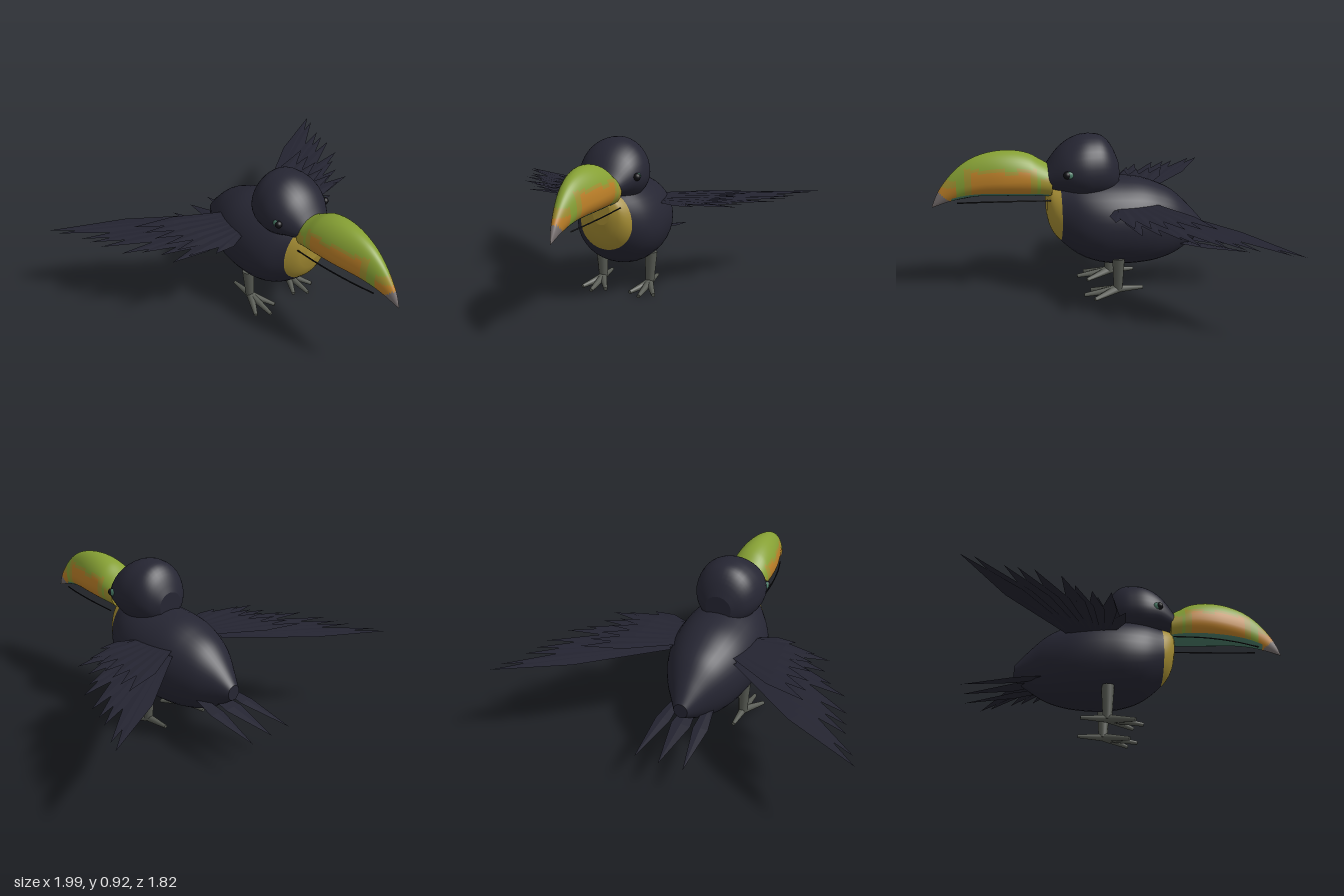
import * as THREE from 'three';

const paint = (name, color, side = THREE.FrontSide) => {
  const m = new THREE.MeshStandardMaterial({ color, side });
  m.name = name;
  return m;
};

// Smooth closed skin along z. Each section is [z, top, widest height, bottom, half width].
// pick(z, y, sin) returns the material index of a face.
function loft(sections, steps, segs, pick = () => 0) {
  const spline = new THREE.CubicInterpolant(
    sections.map(s => s[0]), sections.flatMap(s => s.slice(1)), 4);
  const z0 = sections[0][0], z1 = sections[sections.length - 1][0];
  const pos = [], groups = [];
  const put = (k, ...ids) => (groups[k] ??= []).push(...ids);
  for (let i = 0; i <= steps; i++) {
    const z = z0 + (z1 - z0) * i / steps;
    const [top, mid, bottom, w] = spline.evaluate(z);
    for (let j = 0; j < segs; j++) {
      const a = j / segs * Math.PI * 2, s = Math.sin(a);
      pos.push(w * Math.cos(a), mid + s * (s > 0 ? top - mid : mid - bottom), z);
    }
  }
  for (let i = 0; i < steps; i++) for (let j = 0; j < segs; j++) {
    const a = i * segs + j, b = i * segs + (j + 1) % segs, c = b + segs, d = a + segs;
    const z = (pos[a * 3 + 2] + pos[d * 3 + 2]) / 2;
    const y = (pos[a * 3 + 1] + pos[b * 3 + 1] + pos[c * 3 + 1] + pos[d * 3 + 1]) / 4;
    put(pick(z, y, Math.sin((j + 0.5) / segs * Math.PI * 2)), a, b, c, a, c, d);
  }
  // flat end caps with their own corners
  for (const end of [0, steps]) {
    const base = pos.length / 3, from = end * segs * 3;
    pos.push(...pos.slice(from, from + segs * 3));
    const k = pick(pos[from + 2], pos[from + 1], 0);
    for (let j = 1; j < segs - 1; j++) {
      if (end) put(k, base, base + j, base + j + 1);
      else put(k, base, base + j + 1, base + j);
    }
  }
  const g = new THREE.BufferGeometry();
  g.setAttribute('position', new THREE.Float32BufferAttribute(pos, 3));
  g.setIndex(groups.flat());
  let start = 0;
  groups.forEach((ids, k) => { g.addGroup(start, ids.length, k); start += ids.length; });
  g.computeVertexNormals();
  return g;
}

// Pointed feather from root to tip with a faint central ridge
function feather(root, tip, width, widest = 0.55) {
  const r = new THREE.Vector3(...root), t = new THREE.Vector3(...tip);
  const across = new THREE.Vector3(t.z - r.z, 0, r.x - t.x).normalize();
  const at = (f, side, lift) => {
    const p = r.clone().lerp(t, f).addScaledVector(across, side);
    p.y += lift;
    return p;
  };
  const edge = s => [at(0, s * width * 0.5, 0), at(widest, s * width, 0), t];
  const ridge = [r, at(widest, 0, 0.006), t];
  const pts = [];
  for (const s of [-1, 1]) {
    const e = edge(s);
    pts.push(ridge[0], e[0], e[1], ridge[0], e[1], ridge[1], ridge[1], e[1], t);
  }
  const g = new THREE.BufferGeometry().setFromPoints(pts);
  g.computeVertexNormals();
  return g;
}

// Tapered rod between two points
function rod(a, b, ra, rb) {
  const p = new THREE.Vector3(...a), q = new THREE.Vector3(...b), d = q.clone().sub(p);
  const g = new THREE.CylinderGeometry(rb, ra, d.length(), 10);
  g.applyQuaternion(new THREE.Quaternion().setFromUnitVectors(new THREE.Vector3(0, 1, 0), d.normalize()));
  const c = p.add(q).multiplyScalar(0.5);
  return g.translate(c.x, c.y, c.z);
}

export function createModel() {
  const plumage = paint('plumage', 0x262633);
  const quill = paint('wing and tail feathers', 0x242431, THREE.DoubleSide);
  const yellow = paint('breast yellow', 0xa38b32);
  const green = paint('beak green', 0x86a034);
  const olive = paint('beak olive', 0xa09030);
  const orange = paint('beak orange', 0xbd8028);
  const horn = paint('beak tip grey', 0x787070);
  const teal = paint('teal', 0x4a7c68);
  const legGrey = paint('leg grey', 0x565952);
  const black = paint('black', 0x101014);

  const model = new THREE.Group();
  const add = (name, geo, mat, parent = model) => {
    const m = new THREE.Mesh(geo, mat);
    m.name = name;
    parent.add(m);
    return m;
  };

  // Body with breast patch
  add('body', loft([
    [-0.63, 0.39, 0.35, 0.305, 0.04], [-0.55, 0.48, 0.37, 0.25, 0.095],
    [-0.455, 0.57, 0.39, 0.195, 0.16], [-0.35, 0.625, 0.40, 0.165, 0.21],
    [-0.26, 0.655, 0.41, 0.155, 0.235], [-0.13, 0.67, 0.42, 0.155, 0.25],
    [0, 0.675, 0.42, 0.18, 0.245], [0.1, 0.67, 0.43, 0.225, 0.215],
    [0.195, 0.65, 0.46, 0.305, 0.155], [0.24, 0.64, 0.49, 0.36, 0.12],
    [0.265, 0.63, 0.52, 0.42, 0.085], [0.275, 0.61, 0.54, 0.47, 0.05],
  ], 72, 36, z => (z > 0.195 ? 1 : 0)), [plumage, yellow]);

  // Head
  add('head', loft([
    [-0.13, 0.77, 0.70, 0.61, 0.075], [-0.10, 0.84, 0.71, 0.59, 0.125],
    [-0.05, 0.90, 0.72, 0.57, 0.165], [0.03, 0.92, 0.72, 0.56, 0.188],
    [0.10, 0.91, 0.72, 0.57, 0.19], [0.18, 0.865, 0.715, 0.60, 0.165],
    [0.225, 0.82, 0.70, 0.61, 0.137], [0.275, 0.75, 0.68, 0.625, 0.10],
  ], 28, 36), plumage);

  // Beak: green ridge, orange flanks, grey tip, teal underside
  const beakColour = (z, y, s) => {
    if (z > 0.82 + (y - 0.575) * 1.06) return 3;
    if (s < -0.72 && z < 0.8) return 4;
    if (z > 0.775 && y < 0.69) return y < 0.65 ? 2 : 1;
    if (z < 0.31 && y < 0.70) return 1;
    const flank = Math.max(Math.abs(z - 0.53) / 0.19, Math.abs(y - 0.665) / 0.085);
    return flank < 0.83 ? 2 : flank < 1.05 ? 1 : 0;
  };
  add('beak', loft([
    [0.25, 0.75, 0.66, 0.57, 0.11], [0.30, 0.78, 0.67, 0.578, 0.115],
    [0.37, 0.82, 0.685, 0.58, 0.12], [0.51, 0.842, 0.685, 0.587, 0.111],
    [0.67, 0.81, 0.67, 0.588, 0.075], [0.76, 0.755, 0.65, 0.575, 0.05],
    [0.84, 0.67, 0.61, 0.555, 0.027], [0.885, 0.60, 0.57, 0.54, 0.013],
    [0.91, 0.54, 0.535, 0.532, 0.002],
  ], 72, 48, beakColour), [green, olive, orange, horn, teal]);

  // Wing feathers: tips from the longest rear one to the shortest front one
  const tips = [
    [0.995, -0.875], [0.97, -0.81], [0.90, -0.675], [0.88, -0.61], [0.86, -0.53],
    [0.81, -0.40], [0.72, -0.33], [0.66, -0.24], [0.65, -0.14], [0.43, -0.045],
  ];
  for (const s of [1, -1]) {
    const side = s > 0 ? 'left' : 'right';
    const wing = new THREE.Group();
    wing.name = side + 'Wing';
    model.add(wing);
    tips.forEach(([x, z], i) => {
      const f = i / (tips.length - 1), rz = -0.33 + 0.22 * f;
      add('flightFeather', feather([s * 0.2, 0.52 + 0.015 * f, rz],
        [s * x, 0.5 + 0.035 * f, z], 0.055 - 0.012 * f), quill, wing);
    });
    for (let i = 0; i < 6; i++) {
      const f = i / 5;
      add('covertFeather', feather([s * 0.18, 0.54, -0.31 + 0.19 * f],
        [s * (0.64 - 0.08 * f), 0.54, -0.54 + 0.42 * f], 0.045), quill, wing);
    }

    // Mouth line
    add(side + 'MouthLine', new THREE.TubeGeometry(new THREE.CatmullRomCurve3([
      new THREE.Vector3(s * 0.105, 0.572, 0.26), new THREE.Vector3(s * 0.1, 0.576, 0.45),
      new THREE.Vector3(s * 0.075, 0.572, 0.63), new THREE.Vector3(s * 0.04, 0.563, 0.77),
    ]), 20, 0.004, 6), black);

    // Eye
    const patch = add(side + 'EyePatch', new THREE.SphereGeometry(1, 16, 12), teal);
    patch.scale.set(0.012, 0.02, 0.026);
    patch.position.set(s * 0.172, 0.73, 0.163);
    const eye = add(side + 'Eye', new THREE.SphereGeometry(0.021, 16, 12), black);
    eye.position.set(s * 0.168, 0.73, 0.175);

    // Leg with three front toes and one back toe
    const leg = new THREE.Group();
    leg.name = side + 'Leg';
    model.add(leg);
    add('shank', rod([s * 0.155, 0.23, -0.115], [s * 0.147, 0.035, -0.115], 0.036, 0.025), legGrey, leg);
    const ankle = [s * 0.147, 0.04, -0.11];
    for (const [x, z] of [[0.075, 0.03], [0.147, 0.08], [0.22, 0.03]])
      add('frontToe', rod(ankle, [s * x, 0.014, z], 0.024, 0.011), legGrey, leg);
    add('backToe', rod(ankle, [s * 0.147, 0.042, -0.26], 0.022, 0.01), legGrey, leg);

    // Outer tail feather
    add(side + 'TailFeather', feather([s * 0.09, 0.295, -0.42], [s * 0.137, 0.21, -0.905], 0.042, 0.42), quill);
  }
  add('middleTailFeather', feather([0, 0.295, -0.45], [0, 0.21, -0.905], 0.055, 0.4), quill);

  return model;
}
